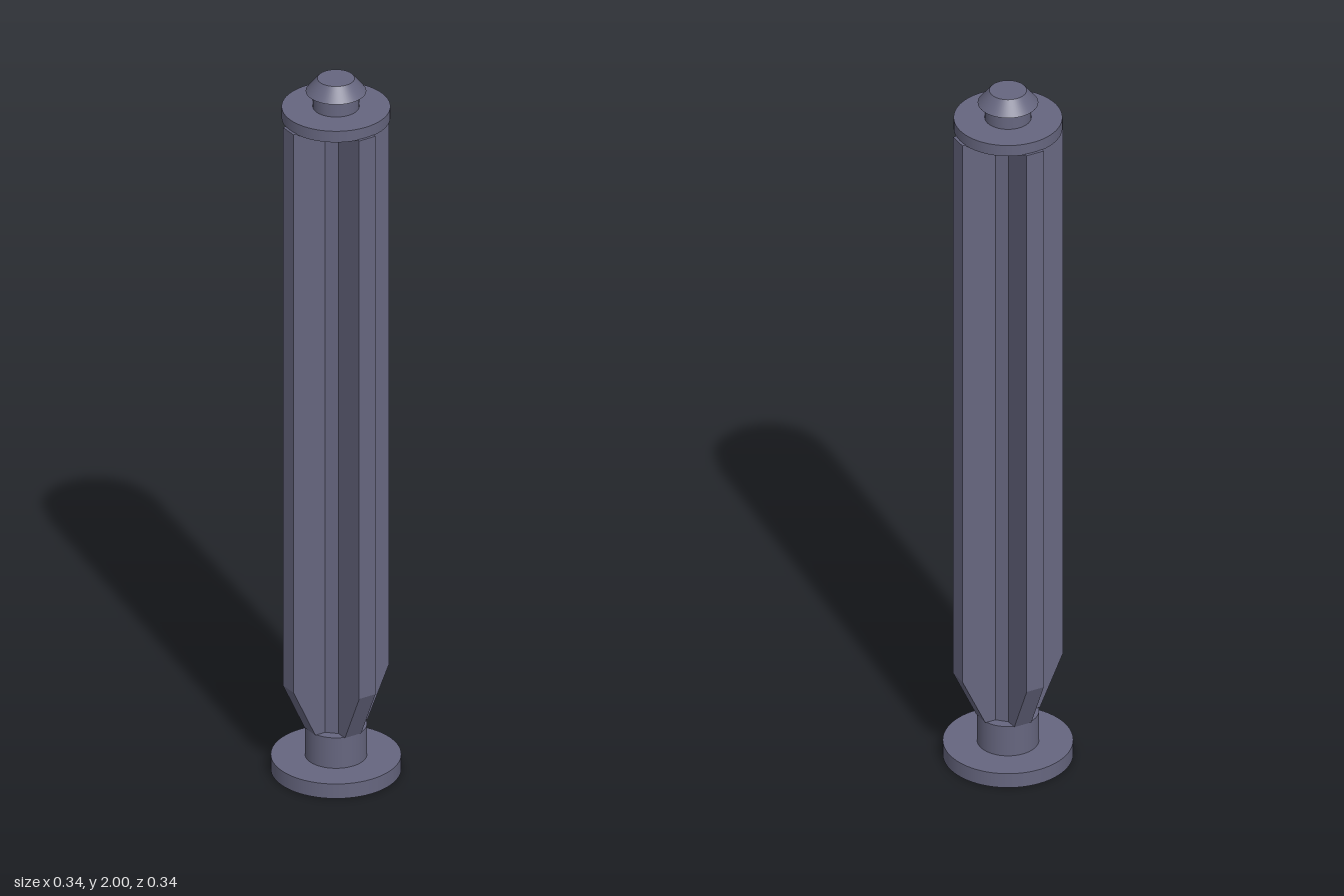
import * as THREE from 'three';

export function createModel() {
  const model = new THREE.Group();
  const slate = new THREE.MeshStandardMaterial({ color: 0x66667f });
  slate.name = 'slate';

  const add = (name, geometry, y = 0) => {
    const mesh = new THREE.Mesh(geometry, slate);
    mesh.name = name;
    mesh.position.y = y;
    model.add(mesh);
  };
  // Cylinder or cone section between two heights
  const round = (name, rBottom, rTop, y0, y1) =>
    add(name, new THREE.CylinderGeometry(rTop, rBottom, y1 - y0, 64), (y0 + y1) / 2);

  // Foot and stem
  round('footDisc', 0.168, 0.168, 0, 0.042);
  round('stem', 0.08, 0.08, 0.042, 0.13);

  // Four-ribbed shaft: cross section with chamfered inner corners
  const half = 0.025, core = 0.05, tip = 0.147, stemR = 0.08;
  const yBottom = 0.13, yTaper = 0.272, yTop = 1.888;
  const points = [];
  for (let i = 0; i < 4; i++) {
    const a = i * Math.PI / 2;
    for (const [x, y] of [[core, -half], [tip, -half], [tip, half], [core, half]]) {
      points.push(new THREE.Vector2(x, y).rotateAround(new THREE.Vector2(), a));
    }
  }
  const shaft = new THREE.ExtrudeGeometry(new THREE.Shape(points), { depth: 2, steps: 2, bevelEnabled: false });
  shaft.rotateX(-Math.PI / 2);
  // Set ring heights and pull the rib tips in at the lower end
  const pos = shaft.attributes.position;
  const clamp = v => THREE.MathUtils.clamp(v, -stemR, stemR);
  for (let i = 0; i < pos.count; i++) {
    const ring = Math.round(pos.getY(i));
    pos.setY(i, [yBottom, yTaper, yTop][ring]);
    if (ring === 0) {
      pos.setX(i, clamp(pos.getX(i)));
      pos.setZ(i, clamp(pos.getZ(i)));
    }
  }
  shaft.computeVertexNormals();
  add('ribbedShaft', shaft);

  // Cap, neck and tapered snap head
  round('capDisc', 0.14, 0.14, 1.886, 1.918);
  round('neck', 0.06, 0.06, 1.918, 1.963);
  round('snapHead', 0.078, 0.048, 1.963, 2);

  return model;
}
